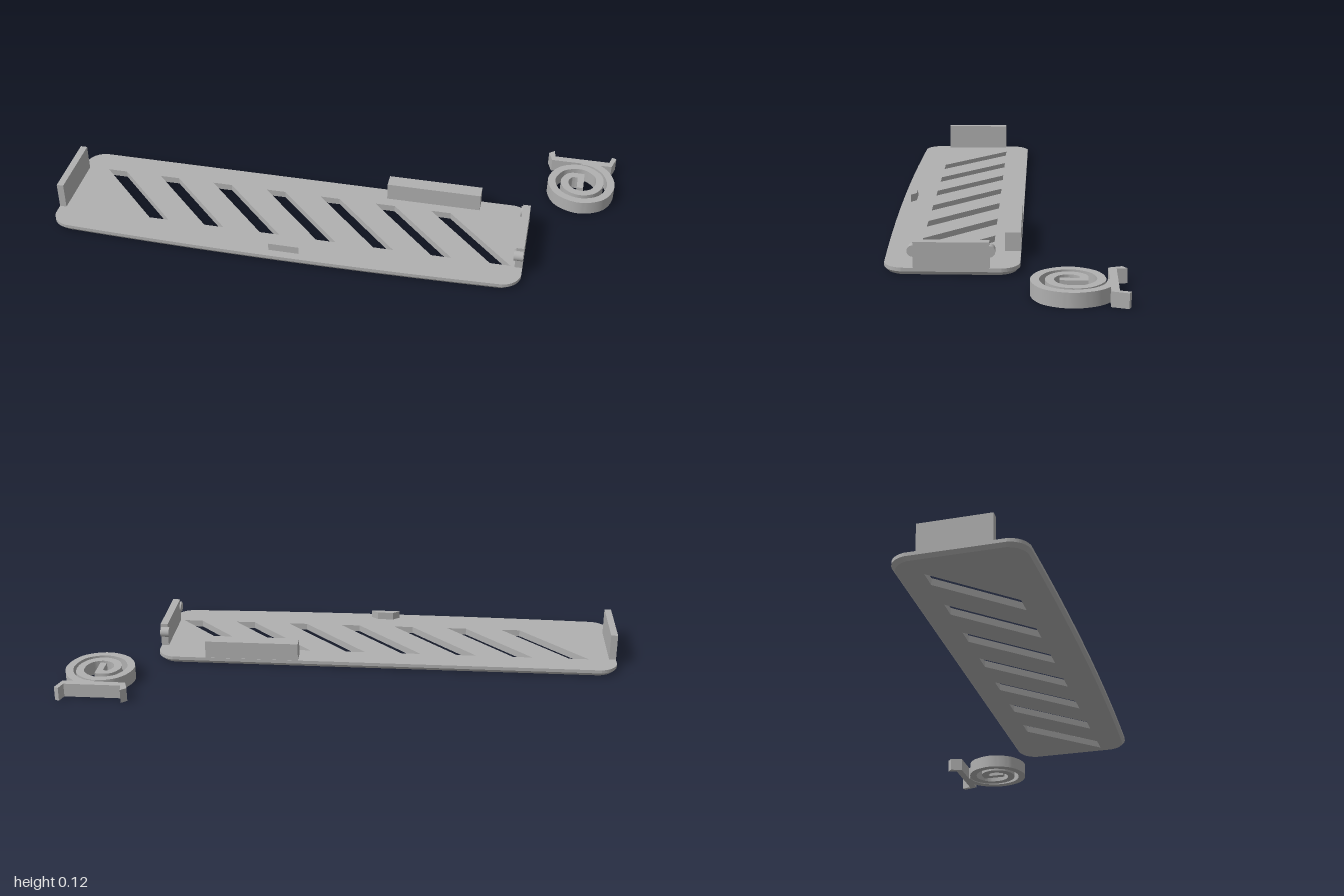
import * as THREE from 'three';
import { toCreasedNormals } from 'three/addons/utils/BufferGeometryUtils.js';

const grey = new THREE.MeshStandardMaterial({ color: 0xb0b0b0 });
grey.name = 'plain grey';

function add(group, name, geometry) {
  const mesh = new THREE.Mesh(geometry, grey);
  mesh.name = name;
  group.add(mesh);
  return mesh;
}

// Plan outline given as [x, z] pairs
const plan = (pts) => pts.map(([x, z]) => new THREE.Vector2(x, -z));

// Extrude a plan shape upwards from y0 to y1
function raise(shape, y0, y1, steps = 1) {
  const g = new THREE.ExtrudeGeometry(shape, { depth: y1 - y0, steps, bevelEnabled: false, curveSegments: 10 });
  g.rotateX(-Math.PI / 2);
  g.translate(0, y0, 0);
  return g;
}

function block(group, name, x0, x1, y0, y1, z0, z1) {
  const g = new THREE.BoxGeometry(x1 - x0, y1 - y0, z1 - z0);
  g.translate((x0 + x1) / 2, (y0 + y1) / 2, (z0 + z1) / 2);
  return add(group, name, g);
}

// Rounded cover plate with a bowed front edge and slanted slots
function coverPlate() {
  const L = -1, R = 0.705, back = 0.06, front = -0.385, r = 0.06;
  const s = new THREE.Shape();
  s.moveTo(L + r, back);
  s.quadraticCurveTo(L + 0.01, back - 0.01, L, back - r);
  s.lineTo(L, front + r);
  s.quadraticCurveTo(L + 0.01, front + 0.01, L + r, front);
  s.quadraticCurveTo((L + R) / 2, -0.417, R - r, front);
  s.quadraticCurveTo(R - 0.01, front + 0.01, R, front + r);
  s.lineTo(R, back - r);
  s.quadraticCurveTo(R - 0.01, back - 0.01, R - r, back);
  s.closePath();
  for (let i = 0; i < 7; i++) {
    const x = -0.9 + i * 0.2077;
    s.holes.push(new THREE.Path(plan([[x, 0.033], [x + 0.072, 0.033], [x + 0.317, 0.281], [x + 0.245, 0.281]])));
  }
  const g = raise(s, 0, 0.025, 2);
  // Chamfer the lower outer edge by drawing it in, leaving the slots alone
  const p = g.attributes.position;
  const cx = (L + R) / 2, cz = 0.17;
  for (let i = 0; i < p.count; i++) {
    const z = p.getZ(i);
    if (p.getY(i) < 0.001 && (z < 0.02 || z > 0.29)) {
      p.setX(i, cx + (p.getX(i) - cx) * 0.988);
      p.setZ(i, cz + (z - cz) * 0.957);
    }
  }
  g.computeVertexNormals();
  return g;
}

// Ribbon of even width following a smooth plan curve
function ribbon(points, width, samples) {
  const curve = new THREE.SplineCurve(plan(points));
  const left = [], right = [];
  for (let i = 0; i <= samples; i++) {
    const c = curve.getPointAt(i / samples), t = curve.getTangentAt(i / samples);
    const n = new THREE.Vector2(-t.y, t.x).multiplyScalar(width / 2);
    left.push(c.clone().add(n));
    right.push(c.clone().sub(n));
  }
  return new THREE.Shape(left.concat(right.reverse()));
}

export function createModel() {
  const model = new THREE.Group();
  model.name = 'coverWithSpring';

  const cover = new THREE.Group();
  cover.name = 'cover';
  model.add(cover);
  add(cover, 'slottedPlate', coverPlate());
  block(cover, 'endWall', -1, -0.975, 0.02, 0.122, 0.037, 0.284);
  block(cover, 'backBlock', 0.175, 0.52, 0.02, 0.09, -0.059, -0.006);
  add(cover, 'frontTab', raise(new THREE.Shape(plan([
    [-0.185, 0.37], [-0.075, 0.37], [-0.1, 0.35], [-0.16, 0.35]])), 0.02, 0.053));

  // Latch wall with a round knob on each end
  block(cover, 'latchWall', 0.678, 0.705, 0.02, 0.112, 0.039, 0.285);
  for (const [z, side] of [[0.039, -1], [0.285, 1]]) {
    const knob = new THREE.CylinderGeometry(0.019, 0.019, 0.032, 20);
    knob.rotateZ(Math.PI / 2);
    knob.translate(0.688, 0.081, z + side * 0.001);
    add(cover, 'latchKnob', knob);
  }

  // Spiral spring, wound inwards from the arm that joins the bar
  const spring = new THREE.Group();
  spring.name = 'spring';
  model.add(spring);
  const cx = 0.874, cz = -0.217;
  const path = [[0.87, -0.348], [0.92, -0.336], [0.965, -0.292]];
  const radii = [0.11, 0.11, 0.109, 0.109, 0.109, 0.106, 0.098, 0.083, 0.068, 0.064, 0.063, 0.062, 0.061, 0.057];
  radii.forEach((r, i) => {
    const a = i * Math.PI / 4;
    path.push([cx + r * Math.cos(a), cz + r * Math.sin(a)]);
  });
  path.push([0.872, -0.26]);
  add(spring, 'spiral', toCreasedNormals(raise(ribbon(path, 0.028, 140), 0, 0.05), 0.5));
  block(spring, 'spiralStem', 0.86, 0.884, 0, 0.05, -0.274, -0.185);

  // Bar with a prong at each end
  add(spring, 'hookBar', raise(new THREE.Shape(plan([
    [0.757, -0.34], [0.982, -0.34], [0.998, -0.394], [0.982, -0.401], [0.972, -0.366],
    [0.768, -0.366], [0.762, -0.401], [0.742, -0.384]])), 0, 0.05));

  return model;
}
